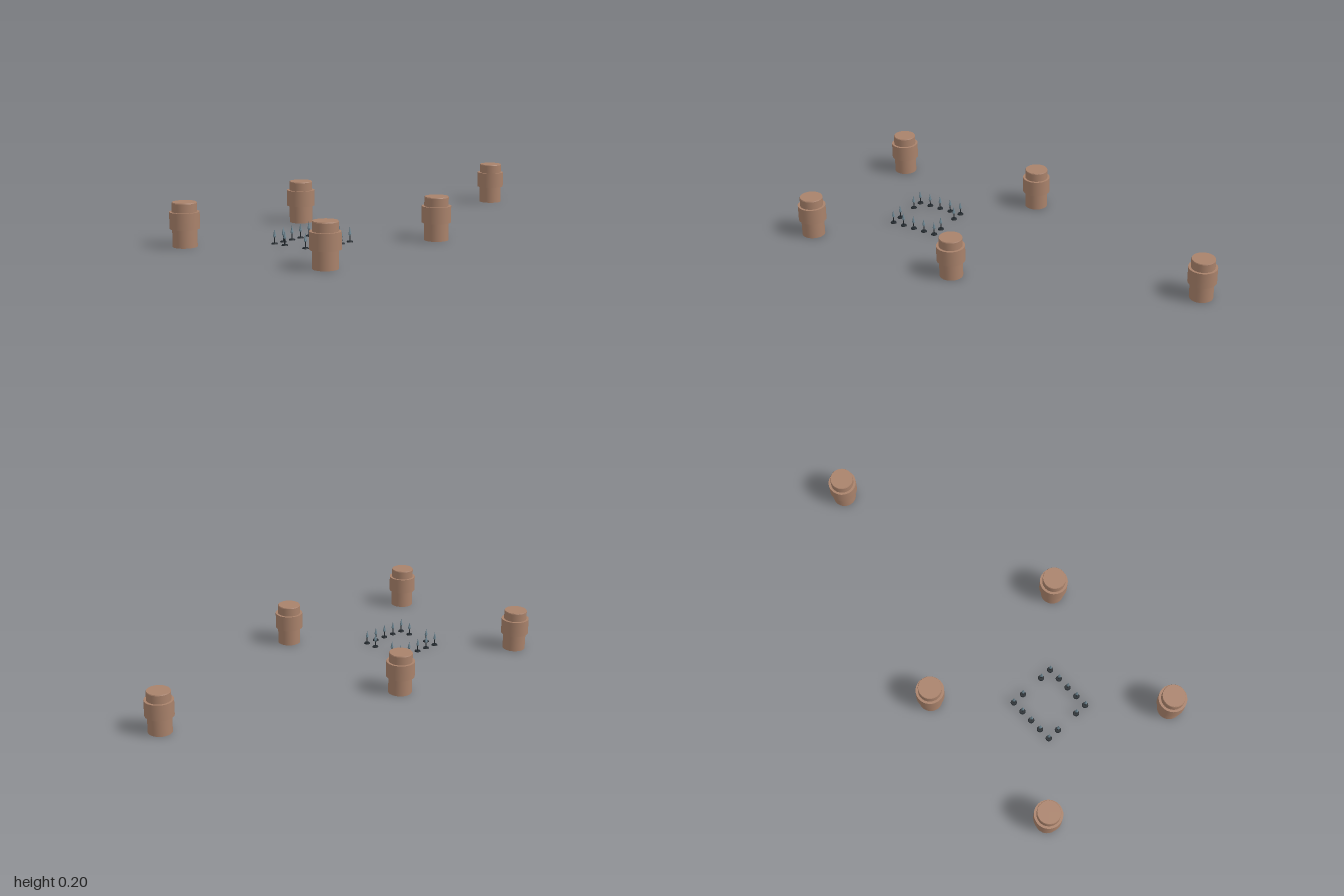
import * as THREE from 'three';

const clay = new THREE.MeshStandardMaterial({ color: 0xa9826b });
clay.name = 'brown clay';
const steel = new THREE.MeshStandardMaterial({ color: 0x6f8793, flatShading: true });
steel.name = 'blue grey steel';
const iron = new THREE.MeshStandardMaterial({ color: 0x23292e });
iron.name = 'dark iron';

function add(group, name, geometry, material, y) {
  const mesh = new THREE.Mesh(geometry, material);
  mesh.name = name;
  mesh.position.y = y;
  group.add(mesh);
}

// Round post with a wide collar and a slightly eased top edge
const shaftGeo = new THREE.CylinderGeometry(0.055, 0.055, 0.195, 32);
const capGeo = new THREE.CylinderGeometry(0.053, 0.055, 0.004, 32);
const collarGeo = new THREE.CylinderGeometry(0.0665, 0.0665, 0.075, 32);

function makePost(x, z) {
  const post = new THREE.Group();
  post.name = 'post';
  add(post, 'postShaft', shaftGeo, clay, 0.0975);
  add(post, 'postCap', capGeo, clay, 0.197);
  add(post, 'postCollar', collarGeo, clay, 0.1185);
  post.position.set(x, 0, z);
  return post;
}

// Small spear-headed stake on a round foot
const footGeo = new THREE.CylinderGeometry(0.013, 0.015, 0.005, 16);
const stemGeo = new THREE.CylinderGeometry(0.0025, 0.0025, 0.03, 8);
const headGeo = new THREE.LatheGeometry([
  new THREE.Vector2(0, 0.025),
  new THREE.Vector2(0.0075, 0.036),
  new THREE.Vector2(0, 0.069),
], 6);

function makeStake(x, z) {
  const stake = new THREE.Group();
  stake.name = 'stake';
  add(stake, 'stakeFoot', footGeo, iron, 0.0025);
  add(stake, 'stakeStem', stemGeo, iron, 0.015);
  add(stake, 'stakeHead', headGeo, steel, 0);
  stake.position.set(x, 0, z);
  return stake;
}

export function createModel() {
  const model = new THREE.Group();
  model.name = 'postsAndStakes';

  // Four posts in a square, one apart at the end
  for (const z of [-0.398, 0.398]) {
    model.add(makePost(-0.9335, z), makePost(-0.142, z));
  }
  model.add(makePost(0.9335, 0));

  // Stakes around a square, with an opening in the middle of each side
  const fence = new THREE.Group();
  fence.name = 'stakeFence';
  for (let i = -2; i <= 2; i++) {
    for (let j = -2; j <= 2; j++) {
      const onRow = Math.abs(j) === 2;
      const onSide = Math.abs(i) === 2 && j !== 0;
      if (onRow || onSide) fence.add(makeStake(-0.537 + i * 0.0595, j * 0.0595));
    }
  }
  model.add(fence);
  return model;
}
